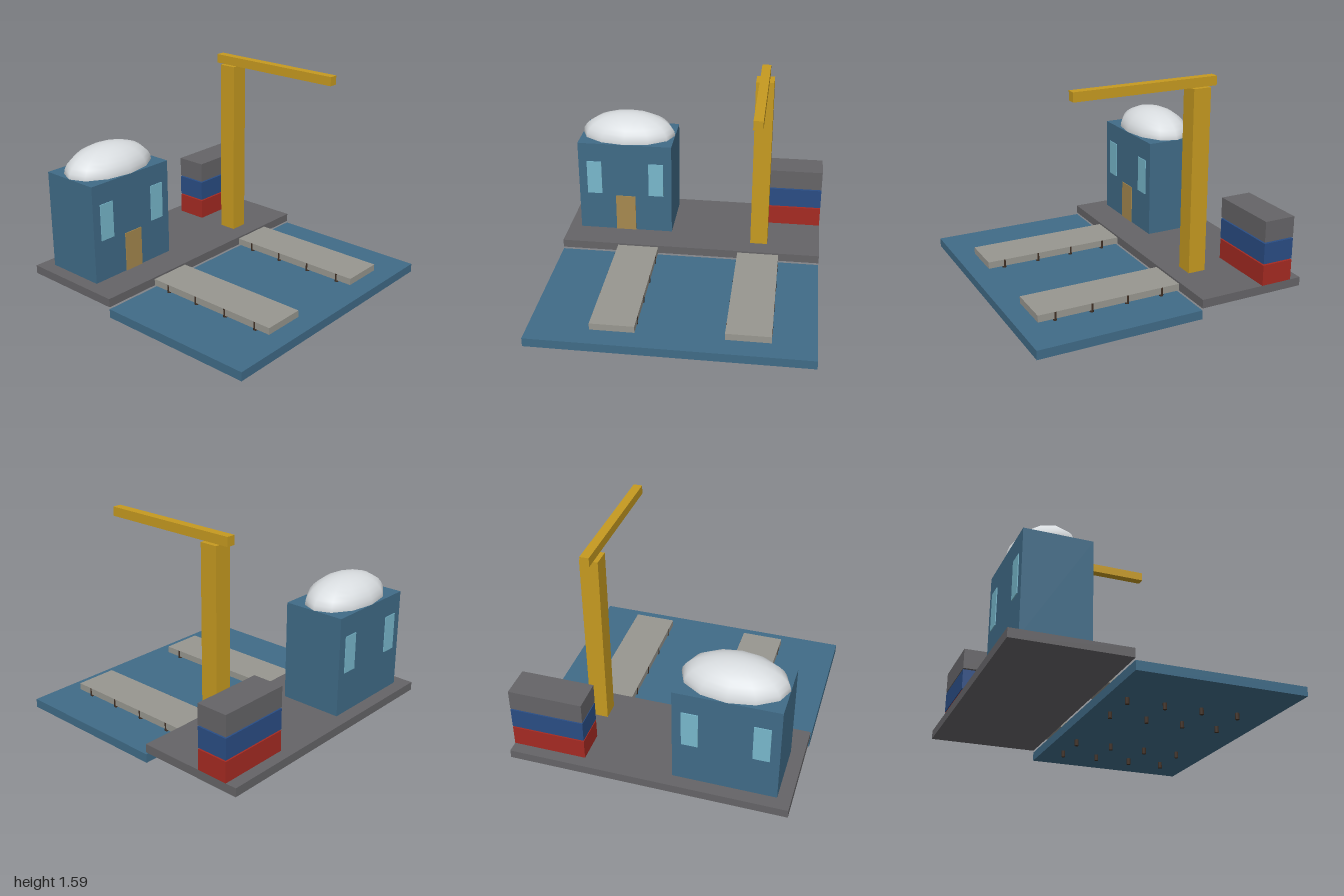
import * as THREE from 'three';

const mat = (name, color) => {
  const m = new THREE.MeshStandardMaterial({ color });
  m.name = name;
  return m;
};

export function createModel() {
  const blue = mat('slate blue', 0x406b87);
  const grey = mat('dark grey', 0x656467);
  const white = mat('dome white', 0xd9dde0);
  const yellow = mat('crane yellow', 0xc69a20);
  const red = mat('container red', 0xa52a22);
  const navy = mat('container blue', 0x2a4d84);
  const stone = mat('pier grey', 0x989790);
  const glass = mat('window blue', 0x78b8cc);
  const wood = mat('door tan', 0xa6894f);
  const brown = mat('pile brown', 0x403025);

  const model = new THREE.Group();
  model.name = 'harbour';

  // Box given by its extents on each axis
  const box = (name, material, [x0, x1], [y0, y1], [z0, z1]) => {
    const mesh = new THREE.Mesh(new THREE.BoxGeometry(x1 - x0, y1 - y0, z1 - z0), material);
    mesh.position.set((x0 + x1) / 2, (y0 + y1) / 2, (z0 + z1) / 2);
    mesh.name = name;
    model.add(mesh);
  };

  // Water and quay
  box('water', blue, [-1, 1], [0.045, 0.11], [-0.2, 1]);
  box('quay', grey, [-1, 1], [0.125, 0.188], [-1, -0.2]);

  // Two piers, each on two rows of piles that bulge slightly past the deck edges
  const pileGeometry = new THREE.CylinderGeometry(0.015, 0.015, 0.174, 8);
  for (const x of [-0.403, 0.532]) {
    box('pier', stone, [x - 0.158, x + 0.158], [0.125, 0.175], [-0.2, 0.862]);
    for (const side of [-1, 1]) {
      for (let i = 0; i < 4; i++) {
        const pile = new THREE.Mesh(pileGeometry, brown);
        pile.position.set(x + side * 0.146, 0.087, -0.065 + i * 0.267);
        pile.name = 'pile';
        model.add(pile);
      }
    }
  }

  // Harbour office with windows front and back, and a front door
  box('office', blue, [-0.904, -0.17], [0.188, 0.925], [-0.904, -0.438]);
  for (const x of [-0.78, -0.293]) {
    for (const z of [-0.436, -0.906]) {
      box('window', glass, [x - 0.058, x + 0.058], [0.5, 0.774], [z - 0.004, z + 0.004]);
    }
  }
  box('door', wood, [-0.614, -0.458], [0.188, 0.485], [-0.44, -0.432]);

  // Stretched half-sphere roof
  const dome = new THREE.Mesh(new THREE.SphereGeometry(1, 12, 8, 0, Math.PI * 2, 0, Math.PI / 2), white);
  dome.scale.set(0.367, 0.18, 0.232);
  dome.position.set(-0.537, 0.925, -0.671);
  dome.name = 'dome';
  model.add(dome);

  // Crane
  box('craneMast', yellow, [0.465, 0.597], [0.188, 1.526], [-0.467, -0.335]);
  box('craneBoom', yellow, [0.498, 0.563], [1.526, 1.592], [-0.533, 0.533]);

  // Stacked containers
  [red, navy, grey].forEach((material, i) => {
    const y = 0.188 + i * 0.161;
    box('container', material, [0.465, 1], [y, y + 0.151], [-0.917, -0.682]);
  });

  return model;
}
